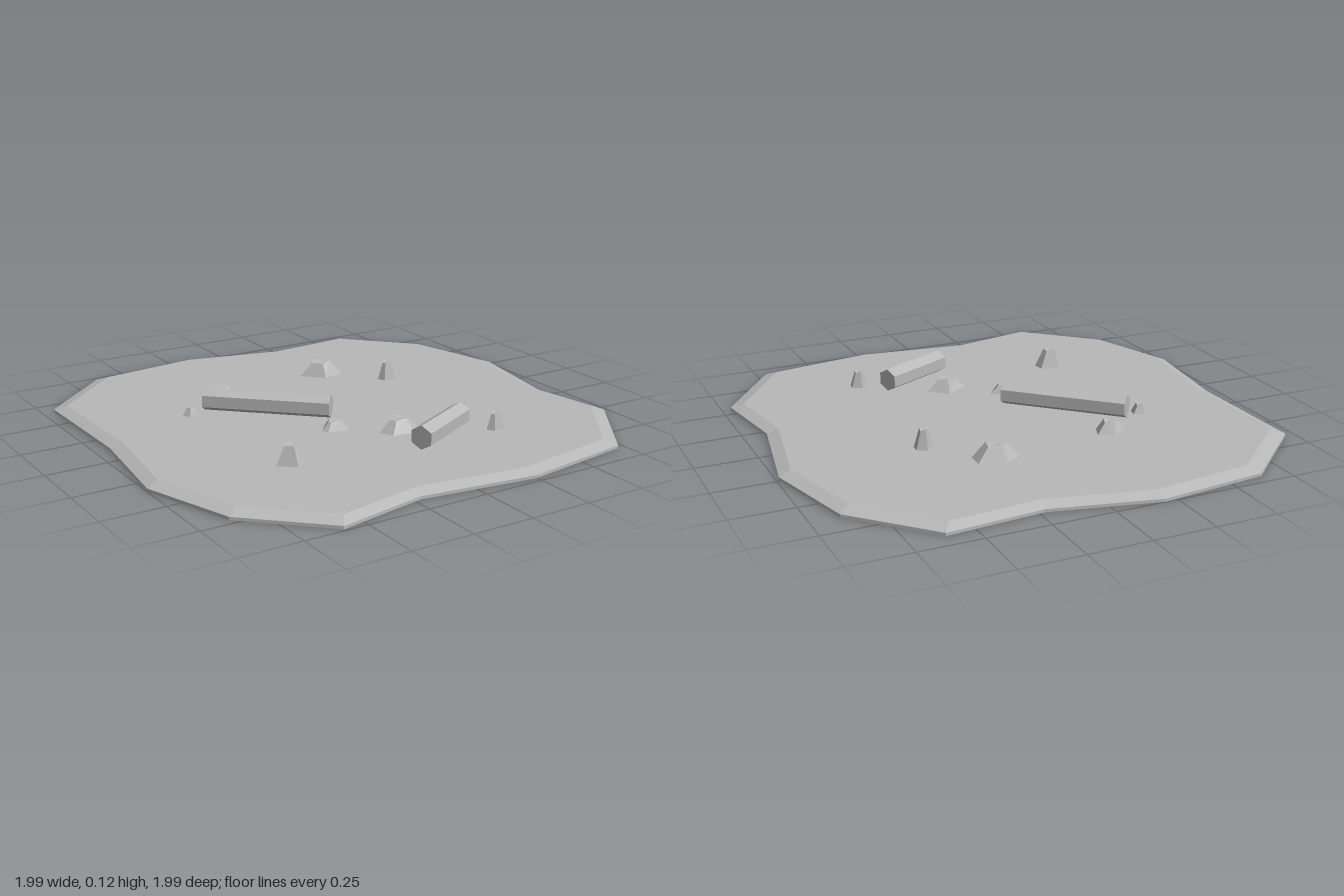
import * as THREE from 'three';

const stone = new THREE.MeshStandardMaterial({ color: 0xb8b8b8 });
stone.name = 'stone grey';
stone.flatShading = true;

// Closed solid through stacked rings of [x, y, z], listed clockwise from above
function loft(rings) {
  const pos = [];
  const tri = (...pts) => pts.forEach(p => pos.push(...p));
  const n = rings[0].length;
  const centre = ring => [0, 1, 2].map(k => ring.reduce((s, p) => s + p[k], 0) / n);
  const bottom = rings[0], top = rings[rings.length - 1];
  const cb = centre(bottom), ct = centre(top);
  for (let i = 0; i < n; i++) {
    const j = (i + 1) % n;
    for (let r = 0; r < rings.length - 1; r++) {
      const lo = rings[r], hi = rings[r + 1];
      tri(lo[j], lo[i], hi[i]);
      tri(lo[j], hi[i], hi[j]);
    }
    tri(cb, bottom[i], bottom[j]);
    tri(ct, top[j], top[i]);
  }
  const g = new THREE.BufferGeometry();
  g.setAttribute('position', new THREE.Float32BufferAttribute(pos, 3));
  g.computeVertexNormals();
  return g;
}

const GROUND = 0.03;

export function createModel() {
  const model = new THREE.Group();
  model.name = 'rockyGroundPatch';
  const add = (name, geometry) => {
    const mesh = new THREE.Mesh(geometry, stone);
    mesh.name = name;
    model.add(mesh);
    return mesh;
  };

  // Ground slab: irregular outline, short lip, bevelled rim
  const outline = [
    [-0.64, -0.95], [-0.2, -1], [0.23, -0.9], [0.615, -0.93],
    [0.89, -0.64], [0.99, -0.24], [0.91, 0.2], [0.965, 0.55],
    [0.715, 0.9], [0.25, 0.975], [-0.225, 0.915], [-0.59, 0.99],
    [-0.875, 0.72], [-1, 0.34], [-0.945, -0.11], [-0.955, -0.66],
  ];
  const level = (y, s) => outline.map(([x, z]) => [x * s, y, z * s]);
  add('groundSlab', loft([level(0, 1), level(0.012, 1), level(GROUND, 0.95)]));

  // Six-sided logs lying on an edge: [name, start x, z, end x, z]
  const r = 0.048;
  for (const [name, x1, z1, x2, z2] of [
    ['longLog', -0.45, -0.28, -0.07, 0.08],
    ['shortLog', 0.02, 0.575, 0.315, 0.425],
  ]) {
    const g = new THREE.CylinderGeometry(r, r, Math.hypot(x2 - x1, z2 - z1), 6);
    g.rotateX(Math.PI / 2);
    const log = add(name, g);
    log.position.set((x1 + x2) / 2, GROUND + r - 0.001, (z1 + z2) / 2);
    log.rotation.y = Math.atan2(x2 - x1, z2 - z1);
  }

  // Five-sided rocks: [name, centre x, z, top height, base corners around the centre]
  const rocks = [
    ['backLeftRock', -0.315, -0.385, 0.08, [[-0.07, -0.005], [0, -0.05], [0.07, -0.02], [0.045, 0.045], [-0.03, 0.045]]],
    ['backRightRock', 0.205, -0.445, 0.093, [[-0.095, -0.02], [-0.015, -0.07], [0.095, -0.032], [0.09, 0.045], [-0.015, 0.075]]],
    ['rightPebble', 0.415, -0.24, 0.11, [[-0.04, -0.005], [-0.002, -0.036], [0.04, -0.015], [0.035, 0.028], [-0.025, 0.028]]],
    ['leftPebble', -0.53, -0.25, 0.07, [[-0.038, -0.005], [-0.005, -0.032], [0.042, -0.015], [0.032, 0.028], [-0.015, 0.028]]],
    ['middleRock', -0.13, 0.2, 0.07, [[-0.064, 0], [-0.02, -0.05], [0.073, 0.002], [0.038, 0.05], [-0.05, 0.03]]],
    ['frontRock', 0.08, 0.34, 0.083, [[-0.095, -0.005], [0.013, -0.07], [0.097, 0], [0.035, 0.07], [-0.068, 0.06]]],
    ['frontLeftRock', -0.465, 0.435, 0.11, [[-0.068, 0], [-0.02, -0.045], [0.062, -0.03], [0.068, 0.025], [0, 0.055]]],
    ['frontRightPebble', 0.405, 0.53, 0.1, [[-0.04, 0], [-0.003, -0.03], [0.04, -0.01], [0.035, 0.025], [-0.02, 0.03]]],
  ];
  for (const [name, cx, cz, top, base] of rocks) {
    const ring = (y, s) => base.map(([x, z], i) => [x * s, y - (s < 1 && i % 2 === 0 ? 0.008 : 0), z * s]);
    add(name, loft([ring(GROUND - 0.008, 1), ring(top, 0.42)])).position.set(cx, 0, cz);
  }
  return model;
}
